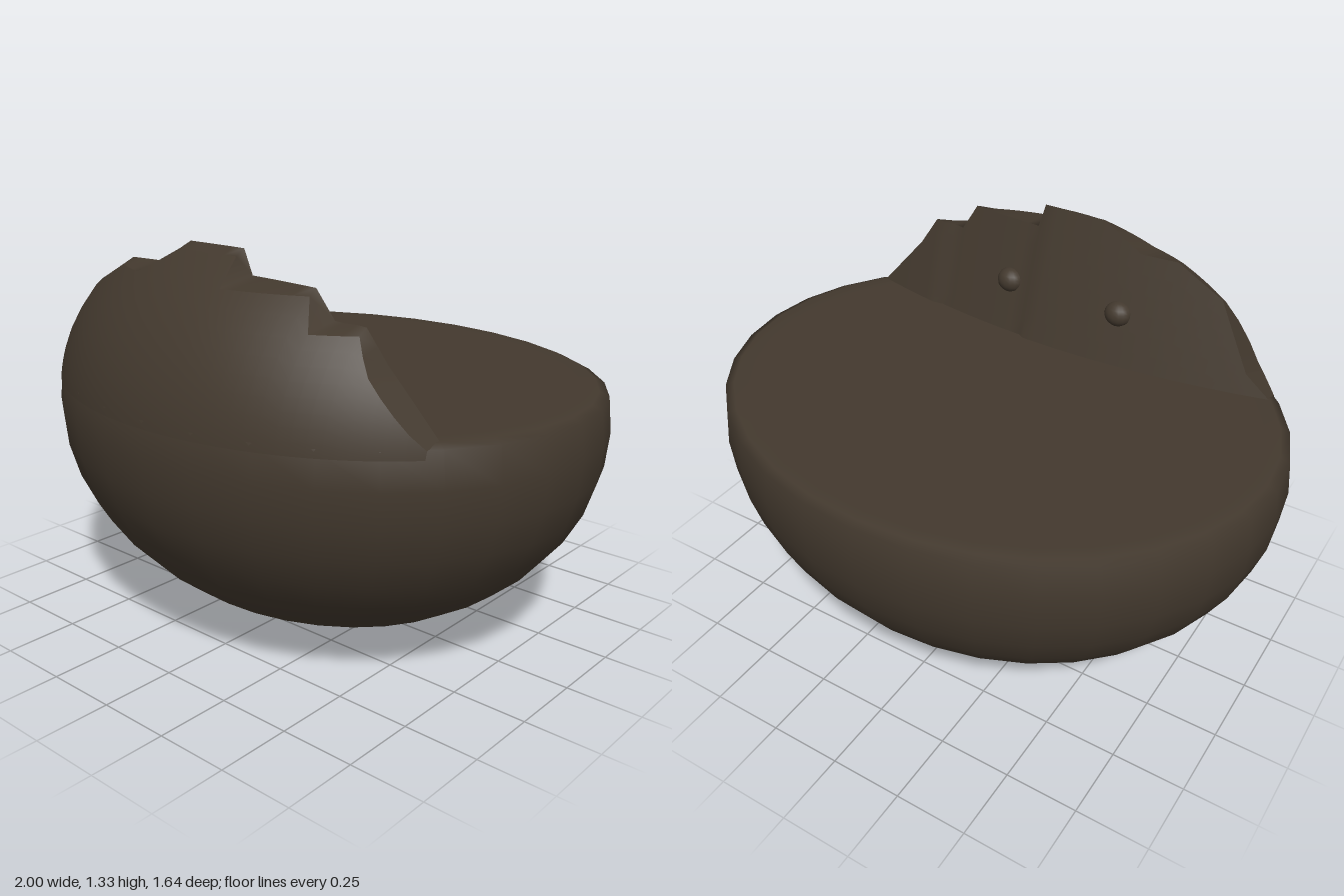
import * as THREE from 'three';

const RX = 1, RY = 0.74, RZ = 0.82, CUT = 0.87;

// z of the rounded shell at a given x, y
const shellZ = (x, y) =>
  RZ * Math.sqrt(Math.max(0, 1 - (x / RX) ** 2 - ((y - RY) / RY) ** 2));

// z of the leaning inner wall, with a small fold at the broken step
const wallZ = (x, y) => {
  const base = 0.33 + 0.1 * (x / 0.79) ** 2 + (x > 0.12 && x < 0.5 ? 0.012 : 0);
  return Math.min(base + (y - CUT) * 0.326, shellZ(x, y) - 0.003);
};

// Jagged upper outline of the upright fragment
const OUTLINE = [
  [-0.79, 0.87], [-0.7, 0.94], [-0.57, 1.16], [-0.4, 1.25], [-0.27, 1.25],
  [-0.12, 1.33], [0.11, 1.33], [0.13, 1.25], [0.4, 1.25], [0.45, 1.16],
  [0.57, 1.16], [0.63, 1.06], [0.79, 0.87],
];

function outlineColumns() {
  const cols = [];
  OUTLINE.forEach(([x, y], i) => {
    if (i === 0) return cols.push([x, y]);
    const [px, py] = OUTLINE[i - 1];
    const n = Math.max(1, Math.ceil((x - px) / 0.05));
    for (let k = 1; k <= n; k++) cols.push([px + ((x - px) * k) / n, py + ((y - py) * k) / n]);
  });
  return cols;
}

// Grid surface: one column per outline point, rows given by t in 0..1
function gridSurface(cols, rows, pointAt) {
  const pos = [], index = [];
  for (const [x, top] of cols)
    for (let r = 0; r <= rows; r++) pos.push(...pointAt(x, top, r / rows));
  const w = rows + 1;
  for (let c = 0; c < cols.length - 1; c++)
    for (let r = 0; r < rows; r++) {
      const a = c * w + r, b = a + w;
      index.push(a, b, b + 1, a, b + 1, a + 1);
    }
  const geo = new THREE.BufferGeometry();
  geo.setAttribute('position', new THREE.Float32BufferAttribute(pos, 3));
  geo.setIndex(index);
  geo.computeVertexNormals();
  return geo;
}

export function createModel() {
  const group = new THREE.Group();
  const brown = new THREE.MeshStandardMaterial({ color: 0x43392e, side: THREE.DoubleSide });
  brown.name = 'darkBrown';
  const add = (geo, name) => {
    const mesh = new THREE.Mesh(geo, brown);
    mesh.name = name;
    group.add(mesh);
    return mesh;
  };

  // Rounded bowl with a softened rim and flat top
  const profile = [];
  for (let i = 0; i <= 11; i++) {
    const a = (i * 9 * Math.PI) / 180;
    profile.push(new THREE.Vector2(Math.sin(a), RY - RY * Math.cos(a)));
  }
  profile.push(new THREE.Vector2(0.955, CUT), new THREE.Vector2(0.9, CUT), new THREE.Vector2(0, CUT));
  const bowl = new THREE.LatheGeometry(profile, 32);
  bowl.scale(RX, 1, RZ);
  add(bowl, 'bowl');

  const cols = outlineColumns();
  const frontTop = (top) => Math.max(0.855, top - 0.02);

  // Outer face of the fragment, continuing the bowl curve
  const outer = gridSurface(cols, 8, (x, top, t) => {
    const y = 0.83 + (frontTop(top) - 0.83) * t;
    return [x, y, shellZ(x, y)];
  });
  const p = outer.attributes.position, n = new THREE.Vector3();
  for (let i = 0; i < p.count; i++) {
    n.set(p.getX(i) / RX ** 2, (p.getY(i) - RY) / RY ** 2, p.getZ(i) / RZ ** 2).normalize();
    outer.attributes.normal.setXYZ(i, n.x, n.y, n.z);
  }
  add(outer, 'fragmentOuterFace');

  // Broken edge between the outer face and the inner wall
  add(gridSurface(cols, 1, (x, top, t) => {
    const y = t ? top : frontTop(top);
    return [x, y, t ? wallZ(x, y) : shellZ(x, y)];
  }), 'brokenEdge');

  // Leaning inner wall, flaring slightly where it meets the flat top
  add(gridSurface(cols, 6, (x, top, t) => {
    const y = top + (CUT - 0.005 - top) * t;
    return [x, y, wallZ(x, y)];
  }), 'innerWall');

  // Small bumps on the inner wall
  for (const x of [0.21, -0.23]) {
    const bump = add(new THREE.SphereGeometry(0.05, 16, 10), 'wallBump');
    bump.position.set(x, 1.04, wallZ(x, 1.04) + 0.012);
    bump.scale.set(1, 0.9, 0.9);
  }
  return group;
}
